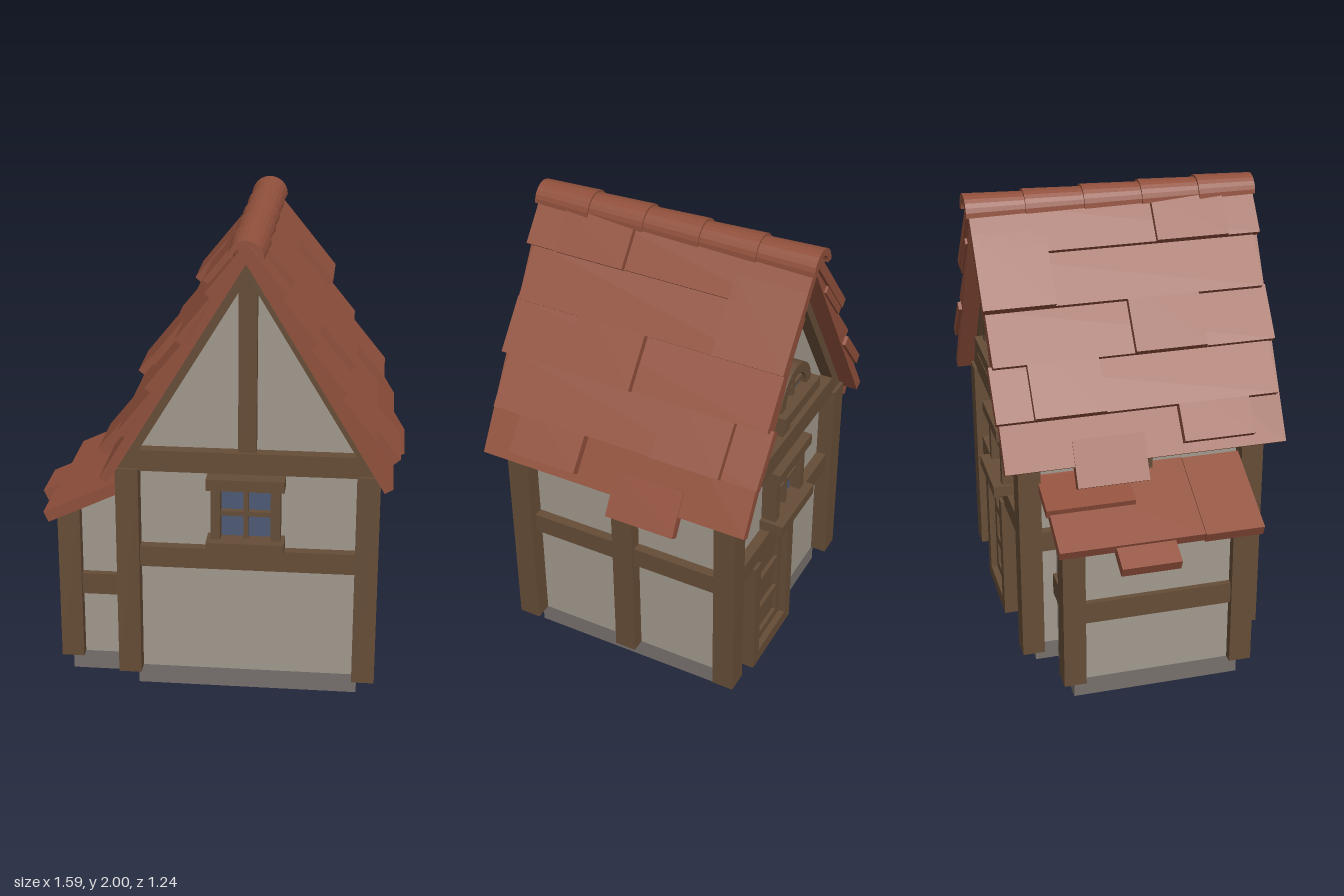
import * as THREE from 'three';

const CX = 0.15; // centre line of the main house

function material(name, color, side = THREE.FrontSide) {
  const m = new THREE.MeshStandardMaterial({ color, side });
  m.name = name;
  return m;
}

export function createModel() {
  const plaster = material('plaster', 0xa1998e);
  const wood = material('wood', 0x664d37);
  const tiles = material('roof tiles', 0x91503c, THREE.DoubleSide);
  const stone = material('stone', 0x77706d);
  const glass = material('glass', 0x4d5a75);

  const model = new THREE.Group();
  model.name = 'house';

  const add = (name, geometry, mat, parent = model) => {
    const mesh = new THREE.Mesh(geometry, mat);
    mesh.name = name;
    parent.add(mesh);
    return mesh;
  };
  // Box given by its limits on each axis
  const box = (name, mat, x0, x1, y0, y1, z0, z1, parent = model) => {
    const g = new THREE.BoxGeometry(x1 - x0, y1 - y0, z1 - z0);
    add(name, g, mat, parent).position.set((x0 + x1) / 2, (y0 + y1) / 2, (z0 + z1) / 2);
  };
  // Outline in x and y, pushed along z
  const prism = (name, mat, points, z0, z1, hole, parent = model) => {
    const shape = new THREE.Shape(points.map(p => new THREE.Vector2(...p)));
    if (hole) shape.holes.push(new THREE.Path(hole.map(p => new THREE.Vector2(...p))));
    const g = new THREE.ExtrudeGeometry(shape, { depth: z1 - z0, bevelEnabled: false, curveSegments: 16 });
    add(name, g, mat, parent).position.z = z0;
  };
  // Sloping slab whose upper lower-edge lies at (x, y); side is the way it slopes down
  const slab = (name, side, x, y, angle, length, thick, z0, z1) => {
    const g = new THREE.BoxGeometry(length, thick, z1 - z0);
    g.translate(-side * length / 2, -thick / 2, 0);
    g.rotateZ(-side * THREE.MathUtils.degToRad(angle));
    add(name, g, tiles).position.set(x, y, (z0 + z1) / 2);
  };

  // Foundations and walls
  box('foundation', stone, -0.315, 0.615, 0, 0.085, -0.46, 0.46);
  box('annexFoundation', stone, -0.62, -0.315, 0, 0.085, -0.36, 0.36);
  prism('walls', plaster,
    [[-0.315, 0.085], [0.615, 0.085], [0.615, 1.1], [CX, 1.87], [-0.315, 1.1]], -0.46, 0.46);
  prism('annexWalls', plaster,
    [[-0.62, 0.085], [-0.3, 0.085], [-0.3, 0.9], [-0.62, 0.755]], -0.36, 0.36);

  // Timber frame of the main house
  for (const s of [-1, 1]) {
    const zr = (a, b) => (s > 0 ? [a, b] : [-b, -a]);
    box('cornerPost', wood, -0.39, -0.295, 0.085, 1.01, ...zr(0.435, 0.53));
    box('cornerPost', wood, 0.595, 0.69, 0.085, 1.01, ...zr(0.435, 0.53));
    box('gableRail', wood, -0.3, 0.6, 0.57, 0.66, ...zr(0.45, 0.505));
    box('kingPost', wood, 0.112, 0.186, 1.08, 1.84, ...zr(0.45, 0.5));
    prism('gableFrame', wood, [[-0.39, 1], [0.69, 1], [CX, 1.894]], ...zr(0.45, 0.515),
      [[-0.292, 1.09], [CX, 1.82], [0.592, 1.09]]);
    const xr = (a, b) => (s > 0 ? [CX + a, CX + b] : [CX - b, CX - a]);
    box('sidePost', wood, ...xr(0.44, 0.525), 0.085, 1.02, -0.047, 0.047);
    box('sideRail', wood, ...xr(0.44, 0.505), 0.57, 0.66, -0.44, 0.44);
    // Annex posts and rails
    prism('annexPost', wood, [[-0.66, 0.085], [-0.565, 0.085], [-0.565, 0.785], [-0.66, 0.74]],
      ...zr(0.315, 0.41));
    box('annexEndRail', wood, -0.57, -0.38, 0.375, 0.47, ...zr(0.35, 0.39));
  }
  box('annexSideRail', wood, -0.645, -0.6, 0.375, 0.47, -0.32, 0.32);

  // Windows, front and back
  const makeWindow = () => {
    const w = new THREE.Group();
    w.name = 'window';
    box('pane', glass, -0.105, 0.105, 0.71, 0.94, 0.47, 0.478, w);
    for (const s of [-1, 1]) box('jamb', wood, s * 0.123 - 0.02, s * 0.123 + 0.02, 0.71, 0.94, 0.45, 0.525, w);
    box('mullion', wood, -0.01, 0.01, 0.71, 0.94, 0.45, 0.505, w);
    box('crossbar', wood, -0.105, 0.105, 0.813, 0.833, 0.45, 0.505, w);
    box('lintel', wood, -0.16, 0.16, 0.937, 0.985, 0.45, 0.547, w);
    box('sill', wood, -0.16, 0.16, 0.667, 0.715, 0.45, 0.567, w);
    return w;
  };
  for (const s of [-1, 1]) {
    const w = makeWindow();
    w.position.x = 0.145;
    if (s < 0) w.rotation.y = Math.PI;
    model.add(w);
  }

  // Arched attic window on the back gable
  const arc = (r) => Array.from({ length: 17 }, (_, i) => {
    const a = Math.PI * i / 16;
    return [r * Math.cos(a), r * Math.sin(a)];
  });
  const attic = new THREE.Group();
  attic.name = 'atticWindow';
  prism('archFrame', wood, [...arc(0.145), ...arc(0.1).reverse()], 0.45, 0.535, null, attic);
  prism('archPane', glass, arc(0.102), 0.502, 0.508, null, attic);
  box('archMullion', wood, -0.01, 0.01, 0, 0.11, 0.5, 0.522, attic);
  box('archCrossbar', wood, -0.095, 0.095, 0.035, 0.053, 0.5, 0.522, attic);
  box('archSill', wood, -0.17, 0.17, -0.048, 0.002, 0.45, 0.567, attic);
  attic.position.set(CX, 1.29, 0);
  attic.rotation.y = Math.PI;
  model.add(attic);

  // Back door with frame, panels and step
  box('doorStep', wood, 0.09, 0.45, 0, 0.06, -0.52, -0.45);
  for (const x of [0.08, 0.405]) box('doorJamb', wood, x, x + 0.055, 0, 0.58, -0.52, -0.45);
  box('doorLeaf', wood, 0.13, 0.41, 0.05, 0.58, -0.475, -0.45);
  for (const x of [0.135, 0.365]) box('doorStile', wood, x, x + 0.04, 0.06, 0.57, -0.492, -0.47);
  for (const y of [0.06, 0.21, 0.38, 0.53]) box('doorBar', wood, 0.17, 0.37, y, y + 0.04, -0.492, -0.47);

  // Main roof: [tip offset from centre, tip height, z from, z to], then the longer tile [extra, z from, z to]
  const rows = [
    [0.16, 1.78, -0.605, 0.615, 0.228, -0.605, -0.3],
    [0.28, 1.585, -0.6, 0.595, 0.228, 0.005, 0.31],
    [0.398, 1.39, -0.59, 0.615, 0.228, -0.45, -0.15],
    [0.516, 1.195, -0.605, 0.595, 0.16, 0.16, 0.465],
  ];
  const A = THREE.MathUtils.degToRad(51);
  for (const s of [-1, 1]) {
    slab('roofBase', s, CX + s * 0.59, 1.0, 58.8, 1.135, 0.04, -0.59, 0.612);
    slab('eaveTile', s, CX + s * 0.64, 0.925, 58.8, 0.2, 0.043, -0.3, 0.005);
    for (const [dx, y, z0, z1, extra, t0, t1] of rows) {
      slab('tileRow', s, CX + s * dx, y, 51, 0.24, 0.04, z0, z1);
      slab('longTile', s, CX + s * (dx + extra * Math.cos(A)), y - extra * Math.sin(A), 51,
        extra + 0.1, 0.04, t0, t1);
    }
    slab('ridgeTile', s, CX + s * 0.182, 1.793, 51, 0.2, 0.035, 0.16, 0.47);
  }

  // Ridge caps: tapered half rings, each overlapping the next
  for (let i = 0; i < 5; i++) {
    const profile = [[0.05, 0], [0.08, 0], [0.07, 0.25], [0.05, 0.25], [0.05, 0]]
      .map(p => new THREE.Vector2(...p));
    const g = new THREE.LatheGeometry(profile, 12, Math.PI / 2, Math.PI).toNonIndexed();
    g.computeVertexNormals();
    g.rotateX(Math.PI / 2);
    add('ridgeCap', g, tiles).position.set(CX, 1.919, -0.62 + i * 0.2475);
  }

  // Annex roof
  slab('annexTile', -1, -0.705, 0.763, 25, 0.4, 0.045, -0.43, 0.18);
  slab('annexTile', -1, -0.715, 0.765, 25, 0.4, 0.05, 0.18, 0.43);
  slab('annexLongTile', -1, -0.795, 0.706, 25, 0.35, 0.05, -0.195, 0.055);
  slab('annexUpperTile', -1, -0.54, 0.868, 18, 0.2, 0.04, -0.445, -0.07);

  return model;
}
